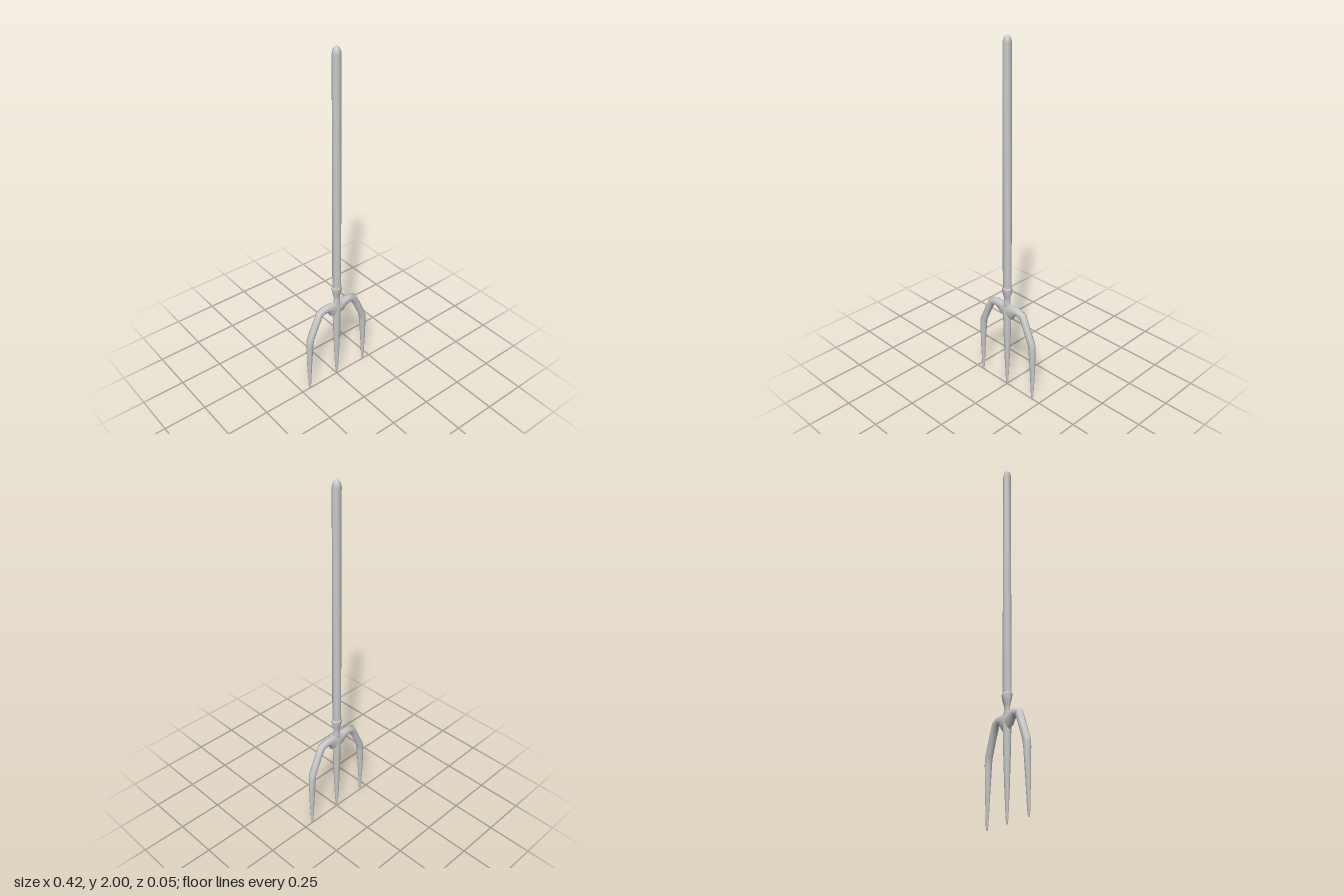
import * as THREE from 'three';

const SIDES = 8;
const metal = new THREE.MeshStandardMaterial({ color: 0xcccccc });

// Skin oval rings along a path in the xy plane. Station: [x, y, in-plane radius, depth radius]
function loft(name, stations) {
  const pos = [], index = [], last = stations.length - 1;
  stations.forEach(([x, y, r, rz], i) => {
    const a = stations[Math.max(i - 1, 0)], b = stations[Math.min(i + 1, last)];
    const t = new THREE.Vector2(b[0] - a[0], b[1] - a[1]).normalize();
    for (let k = 0; k < SIDES; k++) {
      const ang = (k / SIDES) * Math.PI * 2, c = Math.cos(ang) * r;
      pos.push(x - t.y * c, y + t.x * c, Math.sin(ang) * rz);
    }
  });
  for (let i = 0; i < last; i++) {
    for (let k = 0; k < SIDES; k++) {
      const a = i * SIDES + k, b = i * SIDES + (k + 1) % SIDES;
      index.push(a, b, a + SIDES, b, b + SIDES, a + SIDES);
    }
  }
  // close both ends
  const first = pos.length / 3, top = last * SIDES;
  pos.push(stations[0][0], stations[0][1], 0, stations[last][0], stations[last][1], 0);
  for (let k = 0; k < SIDES; k++) {
    const n = (k + 1) % SIDES;
    index.push(first, n, k, first + 1, top + k, top + n);
  }
  const geo = new THREE.BufferGeometry();
  geo.setAttribute('position', new THREE.Float32BufferAttribute(pos, 3));
  geo.setIndex(index);
  geo.computeVertexNormals();
  const mesh = new THREE.Mesh(geo, metal);
  mesh.name = name;
  return mesh;
}

export function createModel() {
  const group = new THREE.Group();
  group.name = 'gardenFork';

  // Long shaft with a rounded end
  group.add(loft('handle', [
    [0, 0.62, 0.025, 0.023],
    [0, 1.3, 0.0245, 0.0225],
    [0, 1.965, 0.0235, 0.022],
    [0, 1.985, 0.02, 0.0185],
    [0, 1.996, 0.013, 0.012],
    [0, 2, 0.006, 0.006],
  ]));

  // Socket holding the shaft, flattened where it meets the fork head
  group.add(loft('socket', [
    [0, 0.52, 0.026, 0.018],
    [0, 0.545, 0.023, 0.014],
    [0, 0.565, 0.022, 0.011],
    [0, 0.585, 0.024, 0.014],
    [0, 0.605, 0.028, 0.021],
    [0, 0.635, 0.031, 0.027],
    [0, 0.644, 0.03, 0.026],
    [0, 0.648, 0.024, 0.022],
  ]));

  // Straight centre tine
  group.add(loft('centreTine', [
    [0, 0, 0.003, 0.003],
    [0, 0.02, 0.008, 0.006],
    [0, 0.18, 0.016, 0.013],
    [0, 0.33, 0.021, 0.018],
    [0, 0.45, 0.025, 0.02],
    [0, 0.53, 0.028, 0.018],
  ]));

  // Crossbar bending down into both outer tines, thickened at the middle
  const half = [
    [0.03, 0.504, 0.046, 0.018],
    [0.05, 0.517, 0.031, 0.02],
    [0.08, 0.523, 0.025, 0.02],
    [0.117, 0.514, 0.023, 0.02],
    [0.143, 0.46, 0.021, 0.02],
    [0.186, 0.362, 0.021, 0.02],
    [0.191, 0.325, 0.02, 0.019],
    [0.196, 0.18, 0.015, 0.013],
    [0.198, 0.02, 0.008, 0.006],
    [0.198, 0, 0.003, 0.003],
  ];
  const mirrored = half.map(([x, ...rest]) => [-x, ...rest]).reverse();
  group.add(loft('outerTines', [...mirrored, [0, 0.497, 0.055, 0.018], ...half]));

  return group;
}
